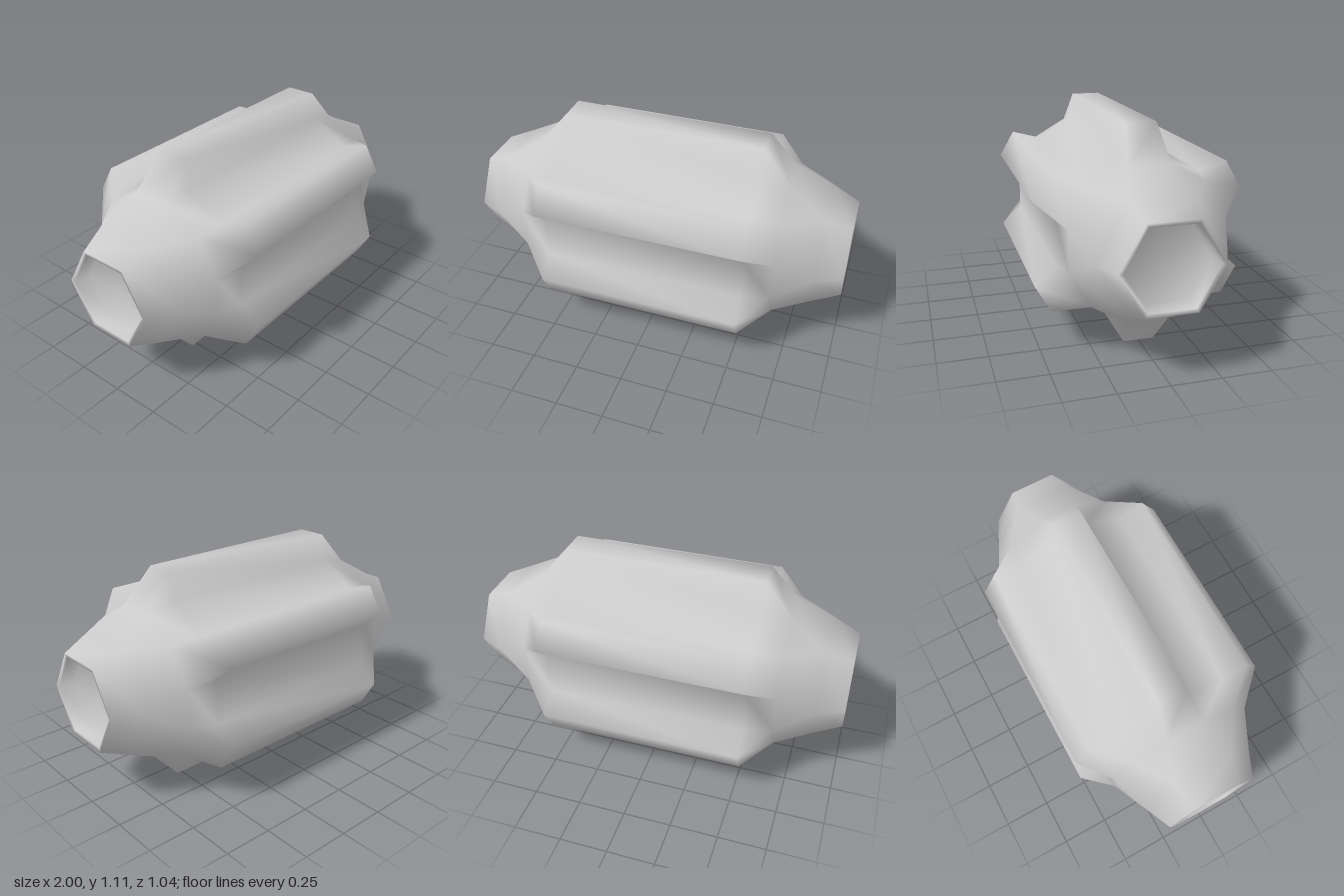
import * as THREE from 'three';
import { mergeVertices } from 'three/addons/utils/BufferGeometryUtils.js';

const CENTRE_Y = 0.556;
const RIBS = 6;

// A ring: position on the axis plus the base and tip corner of one rib,
// each given as [half width, distance from the axis].
const ring = (x, base, tip = base) => ({ x, base, tip });
const hexRing = (x, apothem) => ring(x, [apothem * Math.tan(Math.PI / 6), apothem]);

// Half of the body, from the middle out to the bottom of the end socket
const half = [
  ring(0.525, [0.108, 0.415], [0.078, 0.556]), // end of the ribs
  ring(0.67, [0.103, 0.385]),                  // shoulder, twelve-sided
  hexRing(0.86, 0.27),                         // hexagonal neck
  hexRing(1, 0.215),                           // outer rim
  hexRing(0.995, 0.195),                       // inner rim
  hexRing(0.92, 0.18),                         // socket floor
  hexRing(0.92, 0),                            // floor centre
];

// Four corners per rib, repeated around the x axis
function ringPoints({ x, base, tip }) {
  const points = [];
  for (let i = 0; i < RIBS; i++) {
    const a = (i / RIBS) * Math.PI * 2, c = Math.cos(a), s = Math.sin(a);
    const corners = [[-base[0], base[1]], [-tip[0], tip[1]], tip, base];
    for (const [w, r] of corners) points.push([x, r * c - w * s, r * s + w * c]);
  }
  return points;
}

function bodyGeometry() {
  const left = half.map((r) => ({ ...r, x: -r.x })).reverse();
  const rings = [...left, ...half];
  const n = RIBS * 4;
  const index = [];
  for (let j = 0; j < rings.length - 1; j++) {
    for (let i = 0; i < n; i++) {
      const a = j * n + i, b = j * n + ((i + 1) % n);
      index.push(a, b, b + n, a, b + n, a + n);
    }
  }
  let geo = new THREE.BufferGeometry();
  geo.setAttribute('position', new THREE.Float32BufferAttribute(rings.flatMap(ringPoints).flat(), 3));
  geo.setIndex(index);

  // Weld coincident corners and drop the collapsed triangles
  geo = mergeVertices(geo, 1e-4);
  const src = geo.index.array, kept = [];
  for (let k = 0; k < src.length; k += 3) {
    const [a, b, c] = [src[k], src[k + 1], src[k + 2]];
    if (a !== b && b !== c && c !== a) kept.push(a, b, c);
  }
  geo.setIndex(kept);
  geo.computeVertexNormals();
  return geo;
}

export function createModel() {
  const group = new THREE.Group();
  group.name = 'ribbedCapsule';
  const body = new THREE.Mesh(bodyGeometry(), new THREE.MeshStandardMaterial({ color: 0xcccccc }));
  body.name = 'ribbedBody';
  body.position.y = CENTRE_Y;
  group.add(body);
  return group;
}
